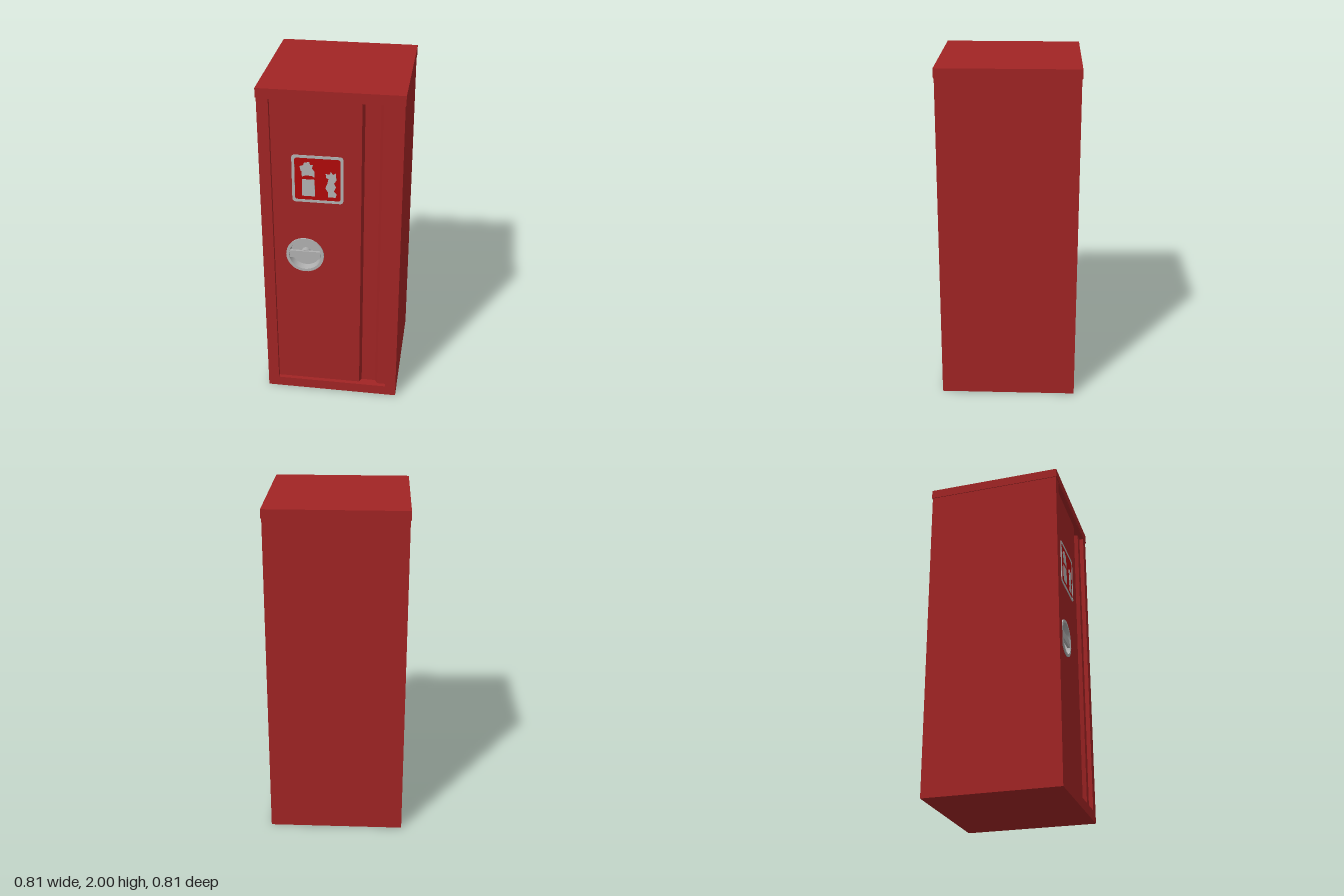
import * as THREE from 'three';
import { toCreasedNormals } from 'three/addons/utils/BufferGeometryUtils.js';

export function createModel() {
  const model = new THREE.Group();
  const flat = (name, color) => {
    const m = new THREE.MeshStandardMaterial({ color });
    m.name = name;
    return m;
  };
  const red = flat('cabinetRed', 0xa12424);
  const signRed = flat('signRed', 0xb00a0a);
  const white = flat('signWhite', 0xb2b2b2);
  const metal = flat('metalGrey', 0xb0b0b0);

  const add = (name, geometry, material, x = 0, y = 0, z = 0, parent = model) => {
    const mesh = new THREE.Mesh(geometry, material);
    mesh.name = name;
    mesh.position.set(x, y, z);
    parent.add(mesh);
    return mesh;
  };
  const box = (w, h, d) => new THREE.BoxGeometry(w, h, d);
  const poly = (pts) => new THREE.Shape(pts.map(([x, y]) => new THREE.Vector2(x, y)));
  const rect = (x0, y0, x1, y1) => poly([[x0, y0], [x1, y0], [x1, y1], [x0, y1]]);
  const extrude = (shape, depth, curveSegments = 12) =>
    new THREE.ExtrudeGeometry(shape, { depth, bevelEnabled: false, curveSegments });

  // Cabinet: solid body, front frame around the opening, overhanging lid
  const L = -0.335, R = 0.335, B = 0.063, T = 1.94;
  const backZ = 0.32, doorZ = 0.375;
  add('body', box(0.8, 1.97, 0.4 + backZ), red, 0, 0.985, (backZ - 0.4) / 2);
  const frame = rect(-0.4, 0, 0.4, 1.97);
  frame.holes.push(rect(L, B, R, T));
  add('frontFrame', extrude(frame, 0.4 - backZ), red, 0, 0, backZ);
  add('lid', box(0.808, 0.055, 0.808), red, 0, 1.9725, 0);

  // Door panel with a round hole for the recessed handle
  const hx = -0.155, hy = 0.97;
  const door = rect(L, B, 0.17, T);
  door.holes.push(new THREE.Path().absarc(hx, hy, 0.1, 0, Math.PI * 2, true));
  add('doorPanel', extrude(door, doorZ - backZ, 32), red, 0, 0, backZ);

  // Folded edge of the door: sloping groove and hinge strip, extruded upwards
  const fold = poly([[0.17, -backZ], [0.17, -doorZ], [0.183, -0.347], [0.268, -0.347],
    [0.283, -doorZ], [R, -doorZ], [R, -backZ]]);
  const foldGeometry = extrude(fold, T - B);
  foldGeometry.rotateX(-Math.PI / 2);
  add('hingeFold', foldGeometry, red, 0, B, 0);

  // Handle: rimmed dish, hub and grip bar
  const handle = new THREE.Group();
  handle.name = 'handle';
  handle.position.set(hx, hy, doorZ);
  model.add(handle);
  const profile = [[0.111, 0], [0.111, 0.008], [0.094, 0.008], [0.088, -0.036], [0, -0.036]];
  const dish = new THREE.LatheGeometry(profile.map(([r, y]) => new THREE.Vector2(r, y)), 40);
  dish.rotateX(Math.PI / 2);
  add('dish', toCreasedNormals(dish, 0.6), metal, 0, 0, 0, handle);
  const hub = new THREE.CylinderGeometry(0.028, 0.028, 0.034, 20);
  hub.rotateX(Math.PI / 2);
  add('hub', hub, metal, 0, 0, -0.019, handle);
  add('gripBar', box(0.182, 0.046, 0.014), metal, 0, 0, -0.003, handle);

  // Fire equipment sign: red plate, pale border and pictograms
  const sign = new THREE.Group();
  sign.name = 'sign';
  sign.position.set(-0.076, 1.466, doorZ);
  model.add(sign);
  const rounded = (h, r) => {
    const s = new THREE.Shape();
    s.absarc(h - r, h - r, r, 0, Math.PI / 2);
    s.absarc(r - h, h - r, r, Math.PI / 2, Math.PI);
    s.absarc(r - h, r - h, r, Math.PI, Math.PI * 1.5);
    s.absarc(h - r, r - h, r, Math.PI * 1.5, Math.PI * 2);
    return s;
  };
  add('signPlate', extrude(rounded(0.144, 0.018), 0.002), signRed, 0, 0, 0, sign);
  const border = rounded(0.145, 0.018);
  border.holes.push(rounded(0.129, 0.014));
  add('signBorder', extrude(border, 0.004), white, 0, 0, 0, sign);
  const icons = {
    extinguisherBody: [[-0.088, -0.106], [-0.016, -0.106], [-0.016, -0.002], [-0.088, -0.002]],
    extinguisherTop: [[-0.088, 0.012], [-0.07, 0.022], [-0.035, 0.022], [-0.016, 0.012],
      [-0.016, 0.048], [-0.03, 0.066], [-0.024, 0.09], [-0.04, 0.088], [-0.045, 0.106],
      [-0.075, 0.1], [-0.08, 0.084], [-0.1, 0.078], [-0.094, 0.05], [-0.088, 0.046]],
    flame: [[0.058, -0.106], [0.102, -0.106], [0.108, -0.085], [0.092, -0.068], [0.104, -0.04],
      [0.092, -0.018], [0.106, 0], [0.104, 0.046], [0.088, 0.036], [0.074, 0.054],
      [0.07, 0.036], [0.046, 0.038], [0.05, 0.014], [0.062, 0.008], [0.056, -0.018],
      [0.044, -0.05], [0.06, -0.078]],
  };
  for (const [name, pts] of Object.entries(icons)) {
    add(name, extrude(poly(pts), 0.004), white, 0, 0, 0, sign);
  }

  return model;
}
